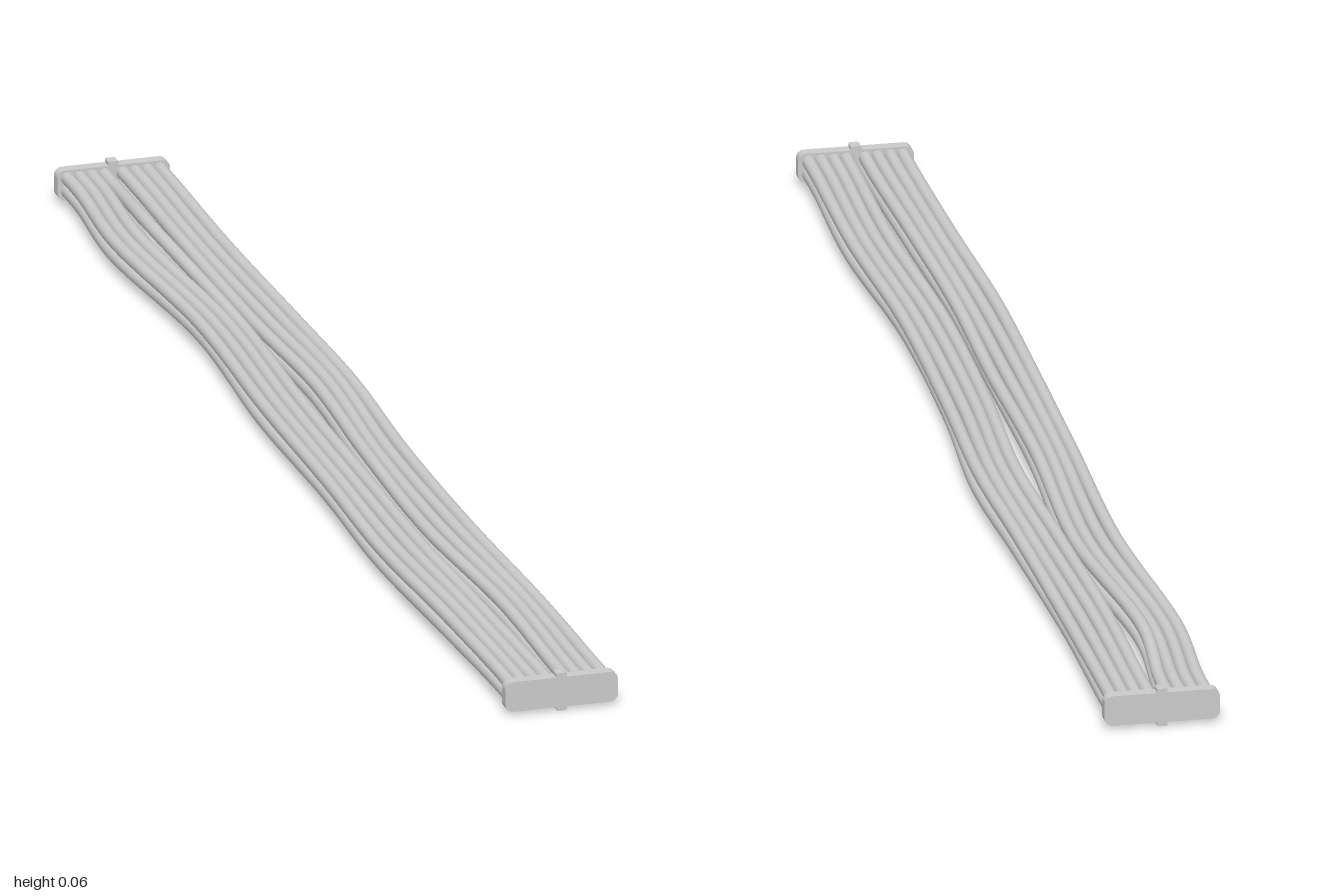
import * as THREE from 'three';

const WIRE_R = 0.0088, PITCH = 0.0168, WIRES_PER_GROUP = 4;
const material = new THREE.MeshStandardMaterial({ color: 0xcccccc });

// Sideways drift of each half of the bundle: [z, dx]
const DRIFT = {
  right: [[-1, 0], [-0.93, 0], [-0.75, -0.011], [-0.42, 0.008], [-0.1, -0.004], [0.2, -0.008], [0.45, -0.012], [0.7, -0.005], [0.93, 0], [1, 0]],
  left: [[-1, 0], [-0.93, 0], [-0.7, -0.002], [-0.4, 0.003], [-0.16, 0.009], [0.1, -0.004], [0.4, -0.009], [0.7, 0.003], [0.93, 0], [1, 0]],
};

// One smooth wire from plate to plate
function makeWire(side, row, i) {
  const sign = side === 'left' ? 1 : -1;
  const x0 = sign * 0.0375 + (i - (WIRES_PER_GROUP - 1) / 2) * PITCH;
  const y0 = 0.028 + (row ? 0.0088 : -0.0088);
  const points = DRIFT[side].map(([z, dx]) => {
    const loose = Math.max(0, 1 - Math.abs(z) ** 6);
    const sway = Math.sin(z * 7 + i * 1.3 + row * 2) * 0.0012 * loose;
    const wave = Math.sin(z * 9 + i * 0.8 + (side === 'left' ? 2 : 0)) * 0.0015 * loose;
    return new THREE.Vector3(x0 + dx * (row ? 0.9 : 1.1) + sway, y0 + wave, z * 0.992);
  });
  // The innermost upper wire of the right half bulges out near the back
  if (side === 'right' && row === 1 && i === 3) {
    points[2].y = 0.0495;
    points[2].z = -0.78;
  }
  const curve = new THREE.CatmullRomCurve3(points);
  const wire = new THREE.Mesh(new THREE.TubeGeometry(curve, 90, WIRE_R, 12), material);
  wire.name = `${side}${row ? 'Upper' : 'Lower'}Wire${i + 1}`;
  return wire;
}

function roundedRect(w, h, r) {
  const s = new THREE.Shape();
  const x = w / 2, y = h / 2;
  s.moveTo(-x + r, -y);
  s.lineTo(x - r, -y);
  s.absarc(x - r, -y + r, r, -Math.PI / 2, 0);
  s.absarc(x - r, y - r, r, 0, Math.PI / 2);
  s.absarc(-x + r, y - r, r, Math.PI / 2, Math.PI);
  s.absarc(-x + r, -y + r, r, Math.PI, Math.PI * 1.5);
  return s;
}

// End plate with a small key tab above and below
function makeEndPlate(name, z) {
  const group = new THREE.Group();
  group.name = name;
  const extrude = (shape, depth, part) => {
    const geo = new THREE.ExtrudeGeometry(shape, { depth, bevelEnabled: false, curveSegments: 6 });
    geo.translate(0, 0, -depth / 2);
    const mesh = new THREE.Mesh(geo, material);
    mesh.name = part;
    group.add(mesh);
  };
  extrude(roundedRect(0.153, 0.041, 0.011), 0.016, 'plate');
  extrude(roundedRect(0.014, 0.052, 0.002), 0.0158, 'keyTabs');
  group.position.set(0, 0.0275, z);
  return group;
}

export function createModel() {
  const model = new THREE.Group();
  model.name = 'cableBundle';
  for (const side of ['left', 'right']) {
    const half = new THREE.Group();
    half.name = `${side}Wires`;
    for (let row = 0; row < 2; row++)
      for (let i = 0; i < WIRES_PER_GROUP; i++) half.add(makeWire(side, row, i));
    model.add(half);
  }
  model.add(makeEndPlate('frontPlate', 0.992), makeEndPlate('backPlate', -0.992));
  model.position.y = -0.0015;
  const root = new THREE.Group();
  root.add(model);
  return root;
}
